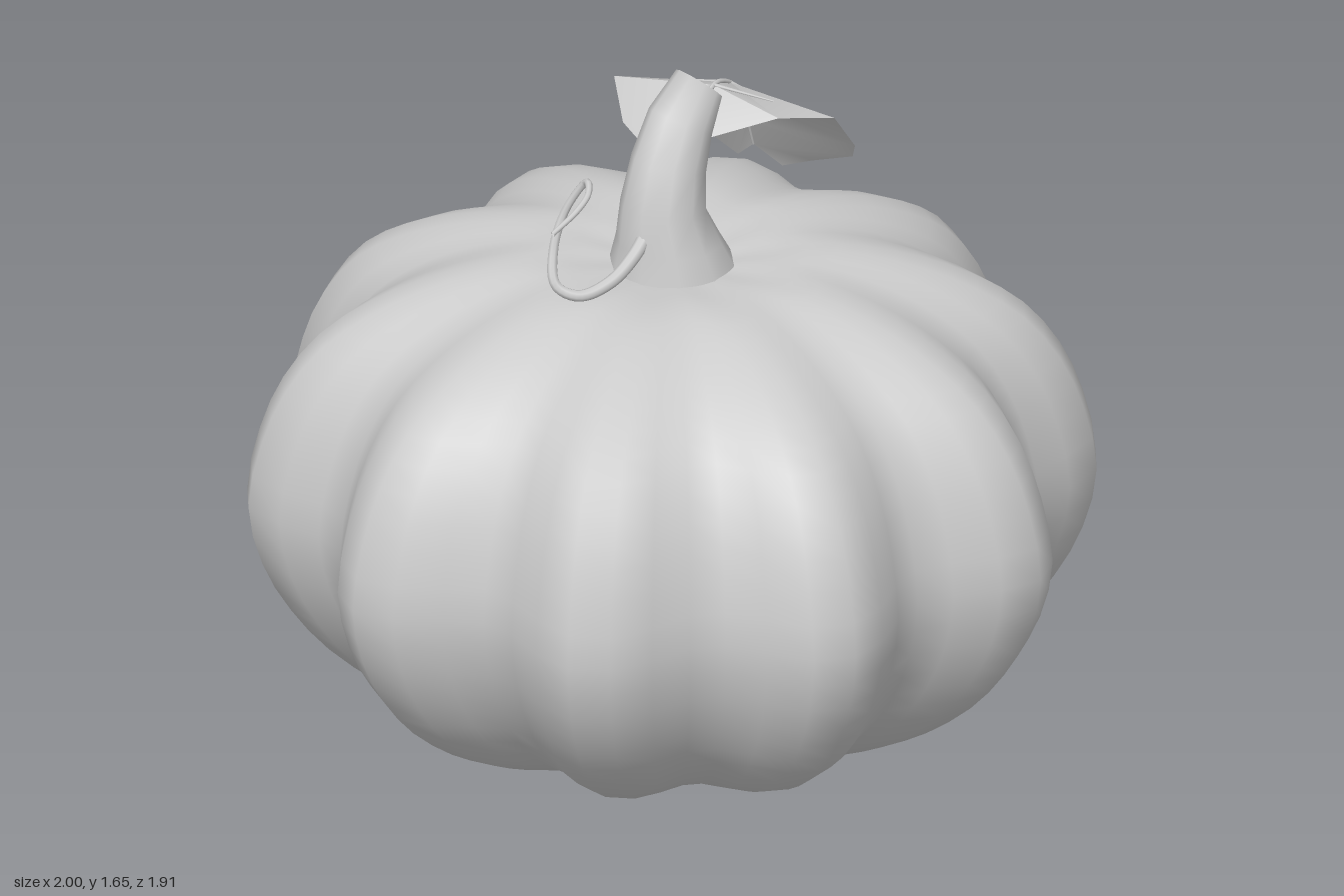
import * as THREE from 'three';
import { mergeVertices, toCreasedNormals } from 'three/addons/utils/BufferGeometryUtils.js';

const V = (p) => new THREE.Vector3(...p);
const curveOf = (pts) => new THREE.CatmullRomCurve3(pts.map(V), false, 'centripetal');

// Ribbed body: a lathe whose radius swells and shrinks in ten lobes
function bodyGeometry() {
  const profile = new THREE.SplineCurve([
    [0, 0.06], [0.1, 0.04], [0.2, 0.016], [0.32, 0.016], [0.46, 0.05], [0.58, 0.097], [0.69, 0.158],
    [0.81, 0.255], [0.9, 0.365], [0.967, 0.49], [1, 0.64], [0.97, 0.8], [0.915, 0.93], [0.83, 1.04],
    [0.72, 1.117], [0.6, 1.172], [0.46, 1.213], [0.32, 1.231], [0.16, 1.218], [0, 1.2],
  ].map((p) => new THREE.Vector2(...p))).getPoints(38);
  profile[0].x = profile[38].x = 0;
  let geo = new THREE.LatheGeometry(profile, 64);
  const pos = geo.attributes.position;
  for (let i = 0; i < pos.count; i++) {
    const x = pos.getX(i), z = pos.getZ(i);
    const k = 0.925 + 0.075 * Math.cos(10 * Math.atan2(z, x));
    pos.setX(i, x * k);
    pos.setZ(i, z * k);
  }
  geo.deleteAttribute('uv');
  geo.deleteAttribute('normal');
  geo = mergeVertices(geo, 1e-4);
  geo.computeVertexNormals();
  return geo;
}

// Stem: rings of a cylinder moved to stations [x, y, z, radius, tilt]
function stemGeometry() {
  const rings = [
    [-0.005, 1.19, 0.012, 0.158, 0], [-0.02, 1.28, 0.012, 0.126, 0.05], [-0.035, 1.37, 0.008, 0.102, 0.15],
    [-0.01, 1.47, 0, 0.09, 0.3], [0.04, 1.555, -0.015, 0.08, 0.55], [0.115, 1.622, -0.033, 0.062, 0.76],
  ];
  const geo = new THREE.CylinderGeometry(1, 1, 1, 10, 5);
  const pos = geo.attributes.position;
  for (let i = 0; i < pos.count; i++) {
    const [cx, cy, cz, r, t] = rings[Math.round((pos.getY(i) + 0.5) * 5)];
    const x = pos.getX(i) * r, z = pos.getZ(i) * r;
    pos.setXYZ(i, cx + x * Math.cos(t), cy - x * Math.sin(t), cz + z);
  }
  return toCreasedNormals(geo, 1.7);
}

// Tube that narrows from r0 to r1 along its path
function taperedTube(pts, r0, r1, segments, sides = 8) {
  const curve = curveOf(pts);
  const geo = new THREE.TubeGeometry(curve, segments, 1, sides);
  const pos = geo.attributes.position, v = new THREE.Vector3();
  for (let i = 0; i < pos.count; i++) {
    const t = Math.floor(i / (sides + 1)) / segments;
    const c = curve.getPointAt(t);
    v.fromBufferAttribute(pos, i).sub(c).multiplyScalar(r0 + (r1 - r0) * t).add(c);
    pos.setXYZ(i, v.x, v.y, v.z);
  }
  return geo;
}

// Leaf blade: stations of [back edge, midrib, front edge]
const leafStations = [
  [[0.06, 1.42, -0.15], [0.1, 1.46, -0.05], [0.14, 1.47, -0.03]],
  [[0.1, 1.43, -0.28], [0.22, 1.555, -0.1], [0.27, 1.515, 0.07]],
  [[0.19, 1.47, -0.41], [0.29, 1.53, -0.12], [0.4, 1.49, 0.12]],
  [[0.31, 1.38, -0.425], [0.35, 1.46, -0.15], [0.51, 1.36, 0.07]],
  [[0.39, 1.31, -0.4], [0.39, 1.38, -0.17], [0.548, 1.3, 0.02]],
  [[0.47, 1.215, -0.29], [0.42, 1.3, -0.182], [0.55, 1.235, -0.12]],
  [[0.42, 1.3, -0.182], [0.42, 1.3, -0.182], [0.5, 1.22, -0.17]],
];

function leafGeometry() {
  const index = [];
  for (let s = 0; s < leafStations.length - 1; s++) {
    for (let j = 0; j < 2; j++) {
      const a = s * 3 + j, b = a + 3;
      index.push(a, a + 1, b, a + 1, b + 1, b);
    }
  }
  const geo = new THREE.BufferGeometry();
  geo.setAttribute('position', new THREE.Float32BufferAttribute(leafStations.flat(2), 3));
  geo.setIndex(index);
  return toCreasedNormals(geo, 0.7);
}

export function createModel() {
  const grey = new THREE.MeshStandardMaterial({ color: 0xcccccc, side: THREE.DoubleSide });
  grey.name = 'plain grey';
  const group = new THREE.Group();
  group.name = 'pumpkin';
  const add = (name, geo, parent = group) => {
    const mesh = new THREE.Mesh(geo, grey);
    mesh.name = name;
    parent.add(mesh);
  };

  add('body', bodyGeometry());
  add('stem', stemGeometry());

  // Curling tendril
  add('tendril', taperedTube([
    [-0.09, 1.35, 0.03], [-0.16, 1.295, 0.045], [-0.24, 1.255, 0.05], [-0.32, 1.24, 0.03],
    [-0.355, 1.265, -0.01], [-0.33, 1.34, -0.045], [-0.29, 1.43, -0.045], [-0.262, 1.505, -0.005],
    [-0.29, 1.495, 0.03], [-0.34, 1.473, 0.045], [-0.415, 1.44, 0.045],
  ], 0.018, 0.006, 64));

  // Leaf with raised veins
  const leaf = new THREE.Group();
  leaf.name = 'leaf';
  group.add(leaf);
  add('leafBlade', leafGeometry(), leaf);
  const ribs = leafStations.slice(0, 6).map((s) => s[1]);
  add('midrib', taperedTube([[0.05, 1.43, -0.02], ...ribs], 0.008, 0.003, 30, 6), leaf);
  for (const s of [1, 2, 3]) {
    for (const side of [0, 2]) {
      const from = V(leafStations[s][1]);
      const to = from.clone().lerp(V(leafStations[s + (side ? 1 : 0)][side]), 0.5);
      add('sideVein', taperedTube([from.toArray(), to.toArray()], 0.005, 0.002, 6, 6), leaf);
    }
  }
  return group;
}
